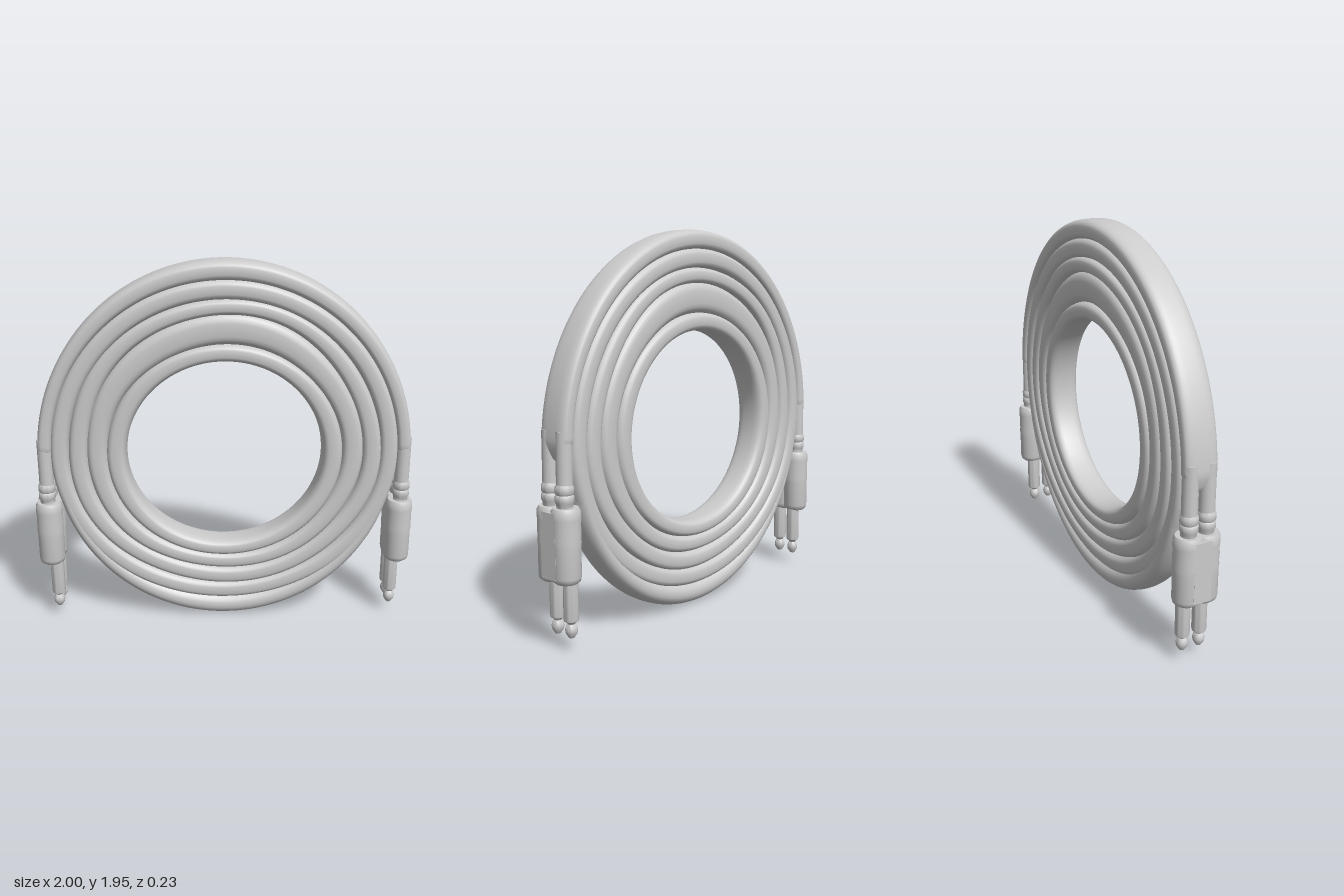
import * as THREE from 'three';
import { toCreasedNormals } from 'three/addons/utils/BufferGeometryUtils.js';

const material = new THREE.MeshStandardMaterial({ color: 0xcccccc, roughness: 0.6 });
const CY = 0.94; // height of the coil's centre

function add(parent, name, geometry, x = 0, y = 0, z = 0) {
  const mesh = new THREE.Mesh(geometry, material);
  mesh.name = name;
  mesh.position.set(x, y, z);
  parent.add(mesh);
  return mesh;
}

// Sweeps a rounded section between two ovals [half width, top height, bottom height].
function strand(inner, outer, { from = 0, to = Math.PI * 2, depth = 0.085, power = 0.65, wobble = () => 0 } = {}) {
  const closed = to - from > 6.28, N = 160, M = 28;
  const rows = closed ? N : N + 1;
  const pos = [], idx = [];
  const at = (o, t) => [o[0] * Math.cos(t), (Math.sin(t) > 0 ? o[1] : o[2]) * Math.sin(t)];
  const curve = (v) => Math.sign(v) * Math.pow(Math.abs(v), power);
  for (let i = 0; i < rows; i++) {
    const u = i / N, t = from + (to - from) * u;
    // open strands close with rounded ends
    const k = closed ? 1 : Math.max(0.01, Math.sqrt(Math.min(1, Math.min(u, 1 - u) / 0.03)));
    const a = at(inner, t), b = at(outer, t), w = 1 + wobble(t);
    for (let j = 0; j < M; j++) {
      const s = (j / M) * Math.PI * 2;
      const f = 0.5 + 0.5 * k * curve(Math.cos(s));
      pos.push((a[0] + (b[0] - a[0]) * f) * w, CY + (a[1] + (b[1] - a[1]) * f) * w, depth * k * curve(Math.sin(s)));
    }
  }
  for (let i = 0; i < N; i++) {
    const p = i * M, q = ((i + 1) % rows) * M;
    for (let j = 0; j < M; j++) {
      const n = (j + 1) % M;
      idx.push(p + j, q + j, p + n, q + j, q + n, p + n);
    }
  }
  const g = new THREE.BufferGeometry();
  g.setAttribute('position', new THREE.Float32BufferAttribute(pos, 3));
  g.setIndex(idx);
  g.computeVertexNormals();
  return g;
}

const lathe = (points) => toCreasedNormals(
  new THREE.LatheGeometry(points.map(([r, y]) => new THREE.Vector2(r, y)), 32), 0.7);

// Pair of plugs with their cable tails; side is +1 for left, -1 for right
function plugPair(side) {
  const pair = new THREE.Group();
  pair.name = side > 0 ? 'leftPlugs' : 'rightPlugs';
  const sleeve = lathe([
    [0, 0.33], [0.05, 0.33], [0.064, 0.342], [0.068, 0.36], [0.068, 0.5], [0.07, 0.52],
    [0.068, 0.54], [0.07, 0.57], [0.068, 0.6], [0.07, 0.63], [0.069, 0.665], [0.06, 0.682], [0, 0.682],
  ]);
  const collar = lathe([
    [0.036, 0.67], [0.039, 0.7], [0.044, 0.71], [0.044, 0.735], [0.039, 0.742],
    [0.044, 0.75], [0.044, 0.775], [0.036, 0.79],
  ]);
  const pin = lathe([
    [0, 0.06], [0.014, 0.064], [0.027, 0.085], [0.03, 0.102], [0.026, 0.118], [0.018, 0.13],
    [0.022, 0.138], [0.034, 0.145], [0.036, 0.155], [0.036, 0.34],
  ]);
  const tail = new THREE.CylinderGeometry(0.038, 0.038, 0.36, 24);
  for (const z of [-0.046, 0.046]) {
    add(pair, 'plugSleeve', sleeve, side * 0.93, 0, z);
    add(pair, 'plugCollar', collar, side * 0.935, 0, z);
    add(pair, 'plugPin', pin, side * 0.908, 0, z);
    add(pair, 'cableTail', tail, side * 0.934, 0.85, z);
  }
  // flat outer wall joining the two sleeves
  add(pair, 'sleeveBridge', new THREE.BoxGeometry(0.068, 0.31, 0.092), side * 0.965, 0.508, 0);
  return pair;
}

export function createModel() {
  const model = new THREE.Group();
  model.name = 'coiledCable';

  // Closed turns of the coil, from the hole outwards
  const ovals = [
    [0.51, 0.5, 0.49], [0.61, 0.59, 0.57], [0.715, 0.745, 0.65], [0.81, 0.82, 0.74], [0.9, 0.915, 0.83],
  ];
  const coil = new THREE.Group();
  coil.name = 'coil';
  model.add(coil);
  for (let i = 0; i < 4; i++) {
    const grow = ovals[i + 1].map((v) => v + 0.006);
    const shrink = ovals[i].map((v) => v - (i ? 0.006 : 0));
    const wobble = (t) => (i === 1 || i === 2 ? 0.006 * Math.sin(5 * t + i) : 0);
    add(coil, 'cableTurn', strand(shrink, grow, { wobble }));
  }

  // Outermost strand over the top, running down to the plugs
  add(coil, 'topStrand', strand([0.893, 0.908, 0.908], [0.972, 1.01, 1.01], { from: -0.06, to: Math.PI + 0.06 }));
  // Rounder outermost strand under the bottom
  add(coil, 'bottomStrand', strand([0.82, 0.815, 0.815], [0.9, 0.94, 0.94],
    { from: Math.PI, to: Math.PI * 2, power: 0.9 }));

  model.add(plugPair(1), plugPair(-1));
  return model;
}
